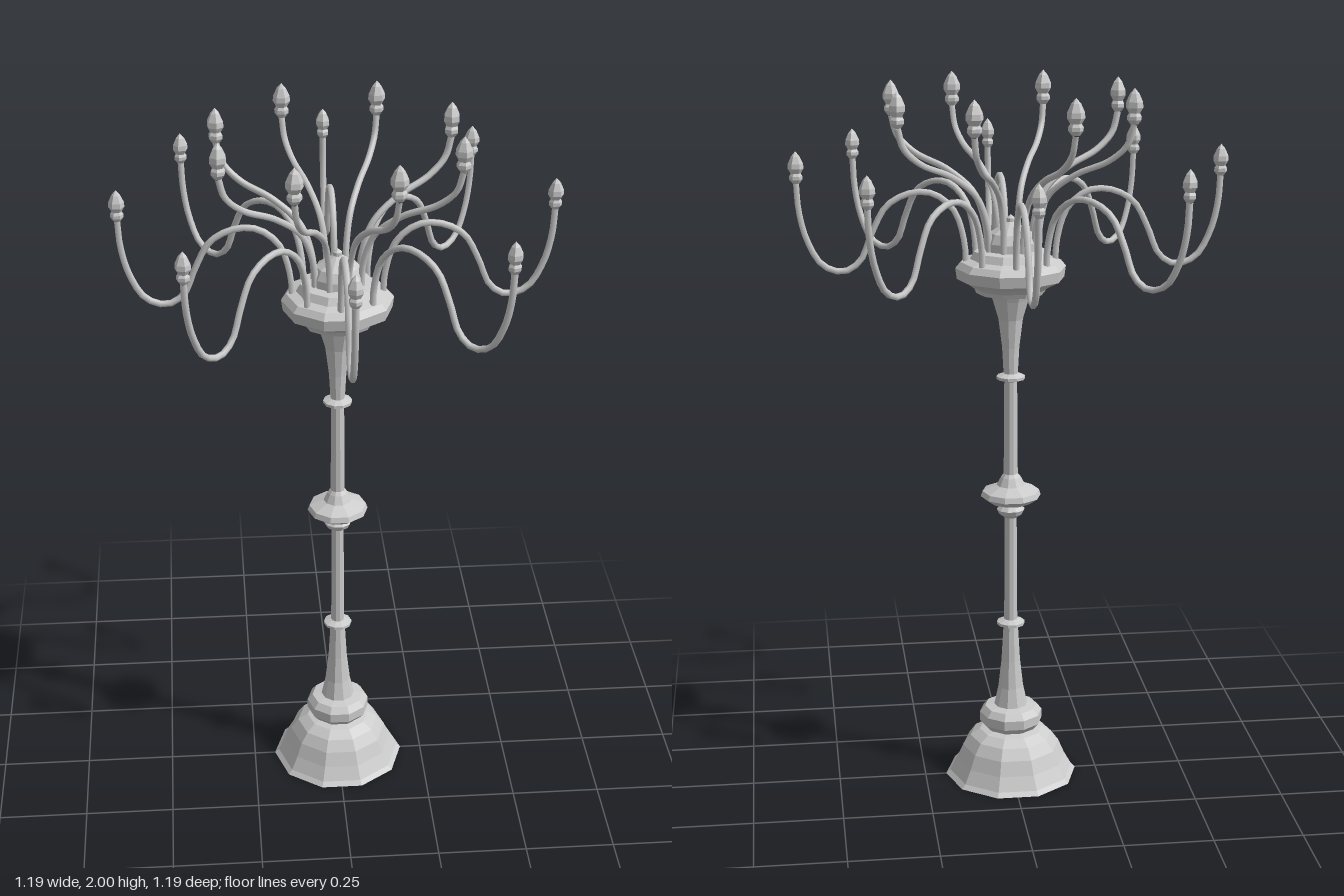
import * as THREE from 'three';

const flat = new THREE.MeshStandardMaterial({ color: 0xcccccc, flatShading: true, side: THREE.DoubleSide });
const smooth = new THREE.MeshStandardMaterial({ color: 0xcccccc });

// Faceted turned part from [radius, height] pairs, with a corner on the +x axis
function turned(name, profile, sides = 10) {
  const points = profile.map(([r, y]) => new THREE.Vector2(r, y));
  const mesh = new THREE.Mesh(new THREE.LatheGeometry(points, sides, Math.PI / 2), flat);
  mesh.name = name;
  return mesh;
}

// Curved arm in the x-y plane with a candle bulb on its end
function makeArm(name, path, bulbScale) {
  const arm = new THREE.Group();
  arm.name = name;
  const curve = new THREE.CatmullRomCurve3(path.map(([r, y]) => new THREE.Vector3(r, y, 0)));
  const tube = new THREE.Mesh(new THREE.TubeGeometry(curve, 32, 0.009, 6), smooth);
  tube.name = 'armTube';
  const bulb = turned('candleBulb', [
    [0, 0], [0.011, 0], [0.02, 0.012], [0.02, 0.022], [0.015, 0.03],
    [0.024, 0.045], [0.023, 0.06], [0.013, 0.082], [0, 0.097],
  ], 6);
  const [endR, endY] = path[path.length - 1];
  bulb.position.set(endR, endY, 0);
  bulb.scale.setScalar(bulbScale);
  arm.add(tube, bulb);
  return arm;
}

export function createModel() {
  const lamp = new THREE.Group();
  lamp.name = 'candelabraFloorLamp';

  // Hollow bell foot
  lamp.add(turned('bellFoot', [
    [0.19, 0], [0.178, 0.012], [0.157, 0.05], [0.14, 0.09], [0.118, 0.12], [0.09, 0.138], [0.06, 0.145],
  ]));
  lamp.add(turned('footCollar', [
    [0.05, 0.143], [0.075, 0.147], [0.09, 0.165], [0.09, 0.192], [0.075, 0.21], [0.04, 0.216],
  ]));

  // Column with its rings and central knop
  lamp.add(turned('column', [
    [0.048, 0.214], [0.036, 0.27], [0.027, 0.35], [0.021, 0.455],
    [0.04, 0.462], [0.04, 0.47], [0.019, 0.478],
    [0.017, 0.785], [0.034, 0.797], [0.04, 0.81], [0.028, 0.822],
    [0.06, 0.832], [0.085, 0.85], [0.08, 0.865], [0.04, 0.882], [0.028, 0.905], [0.02, 0.915],
    [0.018, 1.183], [0.04, 1.19], [0.04, 1.198], [0.02, 1.206],
    [0.024, 1.28], [0.034, 1.36], [0.05, 1.415], [0.058, 1.437],
  ]));

  // Bowl holding the arms
  lamp.add(turned('bowl', [
    [0, 1.43], [0.095, 1.435], [0.1, 1.447], [0.118, 1.46], [0.148, 1.475], [0.152, 1.505],
    [0.138, 1.522], [0.112, 1.53], [0.1, 1.55], [0.07, 1.553], [0, 1.553],
  ]));
  lamp.add(turned('domeFinial', [
    [0.07, 1.55], [0.07, 1.575], [0.058, 1.6], [0.03, 1.618], [0.012, 1.63], [0.012, 1.64], [0, 1.65],
  ]));

  // Eight long drooping arms and eight short upswept arms between them
  const longPath = [
    [0.122, 1.5], [0.127, 1.58], [0.155, 1.665], [0.21, 1.71], [0.27, 1.713], [0.335, 1.68],
    [0.375, 1.61], [0.41, 1.53], [0.455, 1.503], [0.51, 1.522], [0.55, 1.59], [0.57, 1.67], [0.575, 1.745],
  ];
  const shortPath = [
    [0.066, 1.53], [0.072, 1.62], [0.105, 1.705], [0.18, 1.765], [0.27, 1.805], [0.32, 1.85], [0.337, 1.905],
  ];
  for (let i = 0; i < 8; i++) {
    const longArm = makeArm('longArm', longPath, 0.88);
    longArm.rotation.y = (i * Math.PI) / 4;
    const shortArm = makeArm('shortArm', shortPath, 0.98);
    shortArm.rotation.y = ((i + 0.5) * Math.PI) / 4;
    lamp.add(longArm, shortArm);
  }
  return lamp;
}
